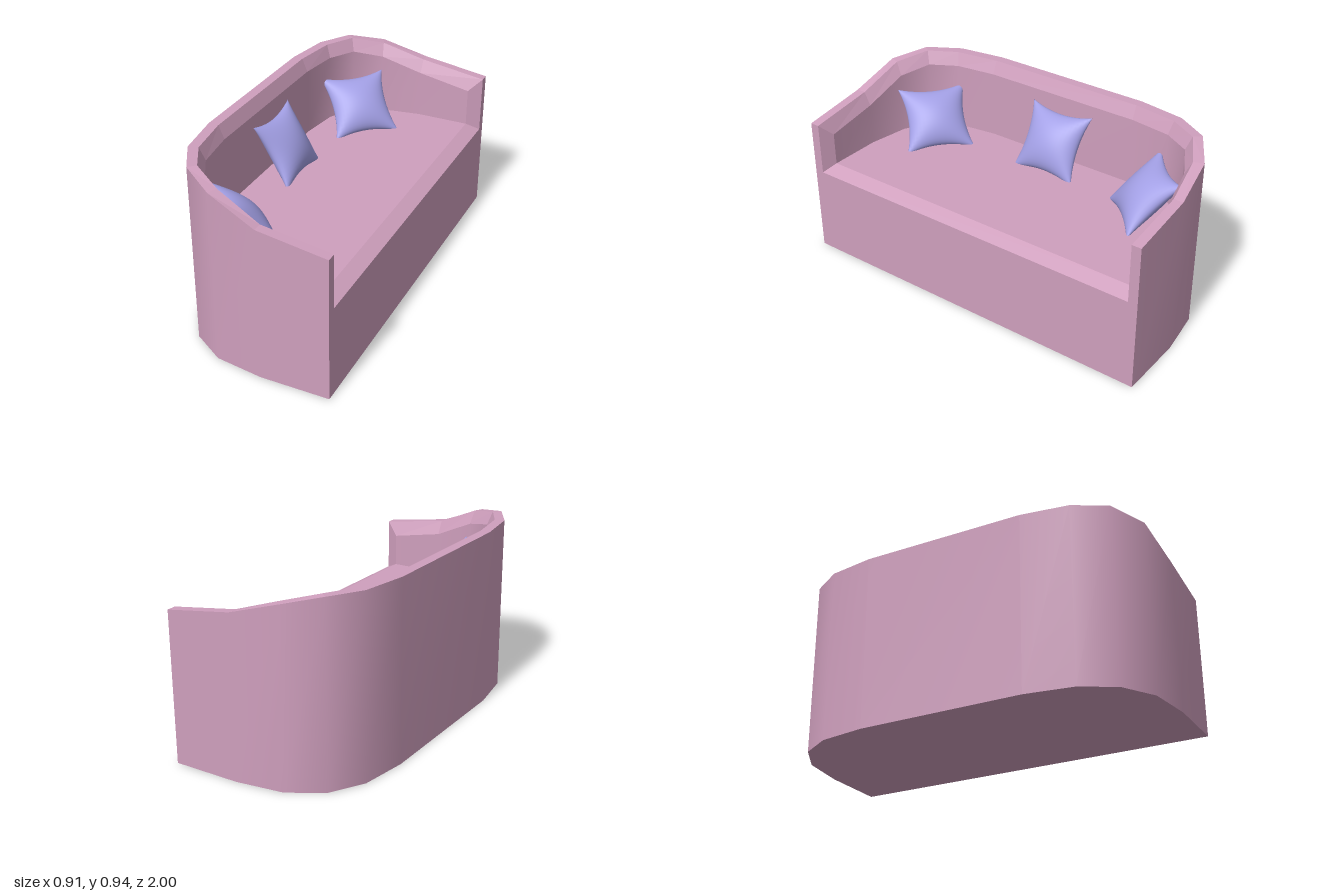
import * as THREE from 'three';
import { mergeVertices } from 'three/addons/utils/BufferGeometryUtils.js';

const SEAT = 0.51, FRONT = 0.475;

// Surface between two chains of points, smooth or faceted along its length.
function strip(p, q, smooth = false) {
  const index = [], n = p.length;
  for (let i = 0; i < n - 1; i++) {
    index.push(i, n + i, i + 1, n + i, n + i + 1, i + 1);
  }
  let g = new THREE.BufferGeometry().setFromPoints([...p, ...q]);
  g.setIndex(index);
  if (!smooth) g = g.toNonIndexed();
  g.computeVertexNormals();
  return g;
}

// Square cushion: drawn-in edges, pointed corners, swollen middle.
function pillowGeometry(half, thick) {
  const n = 20, pos = [], index = [];
  for (const side of [1, -1]) {
    const base = pos.length / 3;
    for (let j = 0; j <= n; j++) {
      for (let i = 0; i <= n; i++) {
        // sine spacing gathers points near the seam
        const u = Math.sin((i / n - 0.5) * Math.PI), v = Math.sin((j / n - 0.5) * Math.PI);
        const a = Math.max(0, 1 - u * u), b = Math.max(0, 1 - v * v);
        pos.push(half * u * (1 - 0.17 * b), half * v * (1 - 0.17 * a),
          side * thick * Math.pow(a * b, 0.55));
        if (i < n && j < n) {
          const k = base + j * (n + 1) + i, r = k + 1, t = k + n + 1;
          if (side > 0) index.push(k, r, t, r, t + 1, t);
          else index.push(k, t, r, r, t, t + 1);
        }
      }
    }
  }
  const g = new THREE.BufferGeometry();
  g.setAttribute('position', new THREE.Float32BufferAttribute(pos, 3));
  g.setIndex(index);
  const merged = mergeVertices(g, 1e-5);
  merged.computeVertexNormals();
  return merged;
}

export function createModel() {
  const group = new THREE.Group();
  const fabric = new THREE.MeshStandardMaterial({ color: 0xcf9fbd });
  const pillowFabric = new THREE.MeshStandardMaterial({ color: 0xa3a0e6 });

  const add = (name, geometry, material = fabric) => {
    const mesh = new THREE.Mesh(geometry, material);
    mesh.name = name;
    group.add(mesh);
    return mesh;
  };

  // Half plans (x, z) from arm front to the middle of the back
  const outer = [[0.456, 1], [0.1, 1], [-0.15, 0.965], [-0.32, 0.86], [-0.42, 0.69], [-0.458, 0.44]];
  const lip = [[0.456, 0.95], [0.1, 0.95], [-0.13, 0.915], [-0.285, 0.825], [-0.37, 0.675], [-0.405, 0.44]];
  const inner = [[0.385, 0.915], [0.1, 0.915], [-0.12, 0.88], [-0.265, 0.8], [-0.345, 0.66], [-0.375, 0.44]];
  // The two arms differ slightly in height
  const leftHeights = [0.755, 0.808, 0.91, 0.945, 0.945, 0.945];
  const rightHeights = [0.783, 0.837, 0.91, 0.945, 0.945, 0.945];

  // Full chain around the back, at a height given for each point
  const chain = (plan, height) => [
    ...plan.map(([x, z], i) => new THREE.Vector3(x, height(leftHeights[i]), z)),
    ...plan.map(([x, z], i) => new THREE.Vector3(x, height(rightHeights[i]), -z)).reverse(),
  ];
  const foot = chain(outer, () => 0);
  const top = chain(outer, h => h);
  const rim = chain(lip, h => h);
  const bevel = chain(inner, h => h - 0.07);
  const floor = chain(inner, () => SEAT);

  add('outerShell', strip(foot, top, true));
  add('rimTop', strip(top, rim));
  add('rimBevel', strip(rim, bevel));
  add('innerBack', strip(bevel, floor, true));

  // Flat seat and underside, spanned between the mirrored halves
  const halves = c => [c.slice(0, 6), c.slice(6).reverse()];
  const [seatL, seatR] = halves(floor), [footL, footR] = halves(foot);
  add('seat', strip(seatL, seatR));
  add('underside', strip(footR, footL));

  // Front panel with arm ends, and the bevel round the opening
  const last = c => c[c.length - 1];
  const edge = [last(rim), new THREE.Vector3(0.456, FRONT, -0.95),
    new THREE.Vector3(0.456, FRONT, 0.95), rim[0]];
  add('frontPanel', strip([last(top), last(foot), foot[0], top[0]], edge));
  add('frontBevel', strip(edge, [last(bevel), last(floor), floor[0], bevel[0]]));

  // Cushions leaning back against the wall: position, facing, tilt
  const cushion = pillowGeometry(0.185, 0.078);
  const places = [
    ['leftPillow', -0.155, 0.63, 0.67, 2.45, 0.78],
    ['middlePillow', -0.28, 0.65, -0.02, Math.PI / 2, 0.53],
    ['rightPillow', -0.16, 0.63, -0.655, 0.8, 0.78],
  ];
  for (const [name, x, y, z, yaw, tilt] of places) {
    const pillow = add(name, cushion, pillowFabric);
    pillow.position.set(x, y, z);
    pillow.rotation.set(-tilt, yaw, 0, 'YXZ');
  }
  return group;
}
